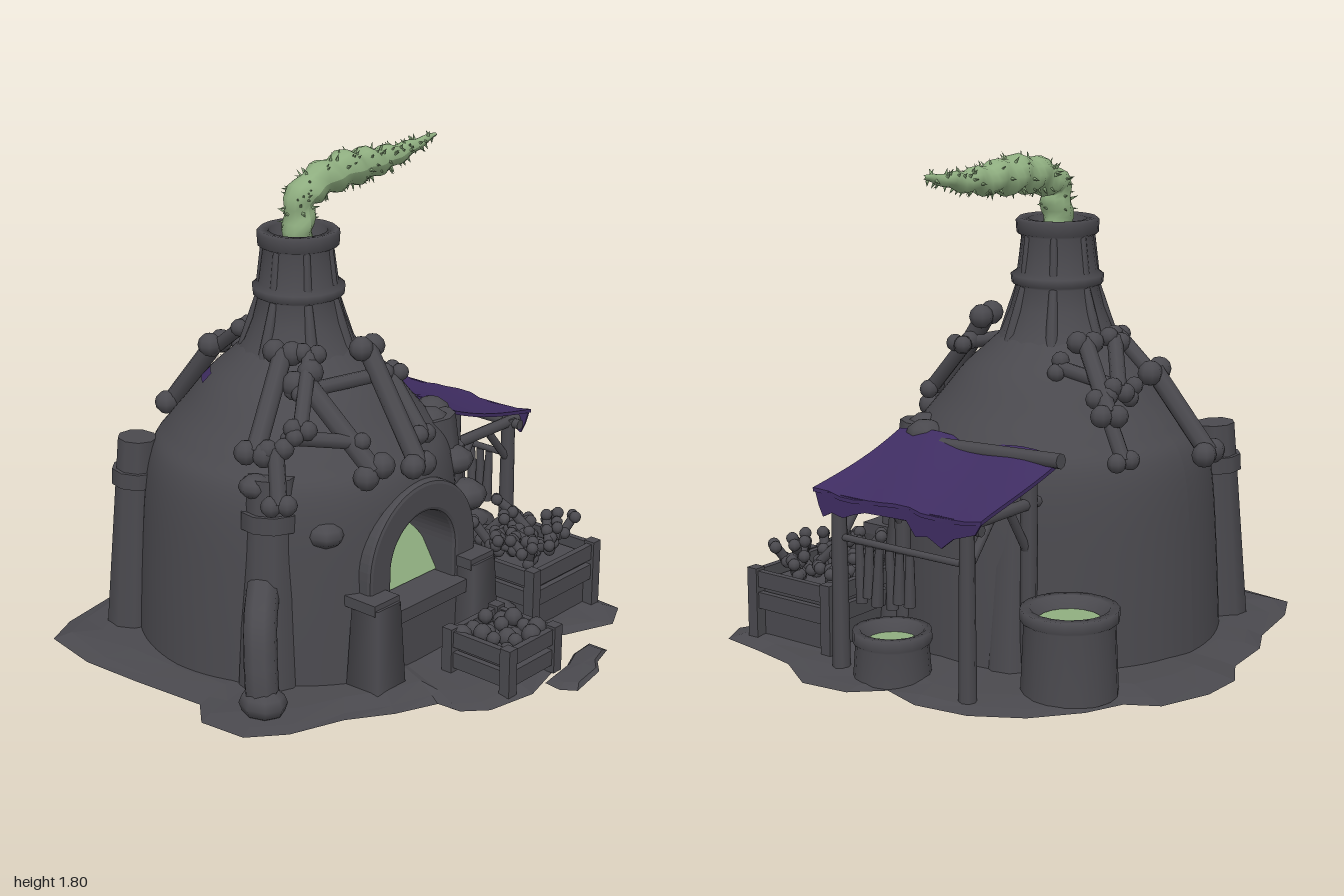
import * as THREE from 'three';

const V = (x, y, z) => new THREE.Vector3(x, y, z);
const CX = -0.1, CZ = -0.12; // axis of the dome and chimney

export function createModel() {
  const model = new THREE.Group();
  const mat = (name, color) => Object.assign(new THREE.MeshStandardMaterial({ color }), { name });
  const stone = mat('charcoal', 0x4a494e);
  const cloth = mat('purple cloth', 0x3f2d62);
  const glow = mat('green glow', 0x8fae80);
  cloth.side = THREE.DoubleSide;

  let seed = 7;
  const rnd = () => (seed = (seed * 16807) % 2147483647) / 2147483647;
  const jit = (a) => (rnd() - 0.5) * 2 * a;

  // helpers
  const add = (name, geo, material = stone, x = 0, y = 0, z = 0, parent = model) => {
    const m = new THREE.Mesh(geo, material);
    m.name = name;
    m.position.set(x, y, z);
    parent.add(m);
    return m;
  };
  const box = (name, x0, x1, y0, y1, z0, z1, parent = model) =>
    add(name, new THREE.BoxGeometry(x1 - x0, y1 - y0, z1 - z0), stone, (x0 + x1) / 2, (y0 + y1) / 2, (z0 + z1) / 2, parent);
  const rod = (name, a, b, r0, r1 = r0, material = stone, parent = model, sides = 8) => {
    const d = b.clone().sub(a);
    const m = add(name, new THREE.CylinderGeometry(r1, r0, d.length(), sides), material, 0, 0, 0, parent);
    m.position.copy(a).addScaledVector(d, 0.5);
    m.quaternion.setFromUnitVectors(V(0, 1, 0), d.normalize());
    return m;
  };
  const rock = (name, x, y, z, sx, sy, sz, parent = model) =>
    add(name, new THREE.SphereGeometry(1, 8, 6), stone, x, y, z, parent).scale.set(sx, sy, sz);
  const bone = (a, b, r, name = 'bone', parent = model) => {
    const g = new THREE.Group();
    g.name = name;
    parent.add(g);
    rod('boneShaft', a, b, r, r, stone, g);
    const d = b.clone().sub(a).normalize();
    const side = V(0, 1, 0).cross(V(a.x - CX, 0, a.z - CZ).normalize());
    side.addScaledVector(d, -side.dot(d)).normalize();
    for (const end of [a, b]) for (const s of [-1, 1]) {
      const p = end.clone().addScaledVector(side, s * r * 0.9);
      rock('boneKnob', p.x, p.y, p.z, r * 1.25, r * 1.25, r * 1.25, g);
    }
  };
  // closed crust: scaled copies of one outline, from the underside over the rim to the top
  const crust = (name, pts, cx, cz, rings, bump) => {
    const n = pts.length, pos = [], idx = [];
    for (const [k, y] of rings) for (const [x, z] of pts) pos.push(cx + (x - cx) * k, y + (k > 0 ? rnd() * bump : 0), cz + (z - cz) * k);
    for (let r = 0; r < rings.length - 1; r++) for (let i = 0; i < n; i++) {
      const a = r * n + i, b = r * n + (i + 1) % n;
      idx.push(a, a + n, b, b, a + n, b + n);
    }
    let geo = new THREE.BufferGeometry();
    geo.setAttribute('position', new THREE.Float32BufferAttribute(pos, 3));
    geo.setIndex(idx);
    geo = geo.toNonIndexed();
    geo.computeVertexNormals();
    return add(name, geo);
  };

  // ground
  const outline = [[0.05, -0.99], [0.2, -0.98], [0.4, -0.92], [0.45, -0.8], [0.6, -0.75], [0.75, -0.62], [0.85, -0.45],
    [0.88, -0.25], [0.84, -0.1], [0.94, 0], [0.94, 0.2], [0.85, 0.35], [0.79, 0.55], [0.77, 0.72], [0.65, 0.78],
    [0.45, 0.7], [0.35, 0.62], [0.22, 0.62], [0.2, 0.85], [0, 0.9], [-0.2, 0.87], [-0.28, 0.8], [-0.28, 0.7],
    [-0.45, 0.65], [-0.6, 0.55], [-0.8, 0.48], [-0.92, 0.38], [-0.94, 0.2], [-0.85, 0.1], [-0.87, -0.2],
    [-0.88, -0.45], [-0.84, -0.68], [-0.7, -0.75], [-0.45, -0.8], [-0.3, -0.88], [-0.1, -0.9]];
  crust('ground', outline, 0, 0, [[0, 0.012], [0.6, 0], [0.93, 0.006], [1, 0.018], [0.94, 0.03], [0.83, 0.038], [0, 0.04]], 0.014);
  const scrap = [[0.1, 0.88], [0.25, 0.86], [0.35, 0.82], [0.46, 0.81], [0.46, 0.89], [0.36, 0.92], [0.3, 0.97], [0.13, 1], [0.09, 0.95]];
  crust('looseGround', scrap, 0.28, 0.91, [[0, 0.005], [1, 0.015], [0.8, 0.03], [0, 0.04]], 0.005);

  // dome, steep to the shoulder, with the mouth of the furnace pressed in at the front
  const domeCurve = new THREE.SplineCurve([[0.605, 0.03], [0.59, 0.33], [0.57, 0.6], [0.54, 0.74], [0.485, 0.82], [0.42, 0.9],
    [0.34, 1.0], [0.255, 1.08], [0.16, 1.17]].map((p) => new THREE.Vector2(...p)));
  const dome = new THREE.LatheGeometry(domeCurve.getPoints(48), 80, Math.PI);
  const p = dome.attributes.position;
  for (let i = 0; i < p.count; i++) {
    const x = p.getX(i) + CX + 0.07, y = p.getY(i), z = p.getZ(i);
    const inMouth = y < 0.43 ? Math.abs(x) < 0.21 : Math.hypot(x, y - 0.43) < 0.21;
    if (z > 0 && inMouth) p.setZ(i, 0.26);
  }
  dome.computeVertexNormals();
  add('dome', dome, stone, CX, 0, CZ);
  for (const [a, w, y0, y1] of [[3.84, 0.26, 0.99, 1.03], [3.47, 0.16, 1.0, 1.04]]) {
    const pts = domeCurve.getPoints(80).filter((q) => q.y > y0 && q.y < y1).map((q) => new THREE.Vector2(q.x + 0.006, q.y));
    add('purplePatch', new THREE.LatheGeometry(pts, 6, a, w), cloth, CX, 0, CZ);
  }

  // chimney
  const chimney = [[0.25, 1.07], [0.2, 1.14], [0.168, 1.22], [0.148, 1.3], [0.165, 1.31], [0.168, 1.34], [0.145, 1.355],
    [0.128, 1.48], [0.147, 1.49], [0.15, 1.535], [0.14, 1.545], [0.105, 1.54], [0.1, 1.4], [0, 1.4]];
  add('chimney', new THREE.LatheGeometry(chimney.map((q) => new THREE.Vector2(...q)), 20), stone, CX, 0, CZ);
  for (let i = 0; i < 7; i++) {
    const a = i * 0.9 + 0.3, at = (r, y) => V(CX + r * Math.sin(a), y, CZ + r * Math.cos(a));
    rod('chimneyRib', at(0.135, 1.34), at(0.122, 1.5), 0.018, 0.012);
    rod('chimneyRib', at(0.2, 1.1), at(0.138, 1.31), 0.025, 0.015);
  }

  // smoke: a tapering, lumpy plume with thorns
  const path = new THREE.CatmullRomCurve3([[-0.1, 1.42], [-0.11, 1.57], [-0.095, 1.655], [0, 1.7], [0.15, 1.717], [0.3, 1.715], [0.45, 1.725], [0.64, 1.757]]
    .map(([x, y]) => V(x, y, -0.11)));
  const girth = (t) => (t < 0.5 ? 0.05 + t * 0.034 : 0.067 - 0.06 * ((t - 0.5) / 0.5) ** 1.2);
  const N = 40, R = 12;
  const smoke = new THREE.TubeGeometry(path, N, 1, R, false);
  const sp = smoke.attributes.position;
  for (let i = 0; i <= N; i++) {
    const c = path.getPointAt(i / N);
    for (let j = 0; j <= R; j++) {
      const k = i * (R + 1) + j, v = V().fromBufferAttribute(sp, k).sub(c);
      const lump = 1 + 0.14 * Math.sin(i * 1.3 + 2 * Math.sin((j / R) * Math.PI * 2));
      v.multiplyScalar(girth(i / N) * lump).add(c);
      sp.setXYZ(k, v.x, v.y, v.z);
    }
  }
  smoke.computeVertexNormals();
  add('smoke', smoke, glow);
  for (let i = 0; i < 120; i++) {
    const t = 0.15 + 0.83 * rnd(), c = path.getPointAt(t), tan = path.getTangentAt(t);
    const d = V(jit(1), jit(1), jit(1));
    d.addScaledVector(tan, -d.dot(tan)).normalize();
    const g = girth(t);
    rod('smokeThorn', c.clone().addScaledVector(d, g * 0.85), c.clone().addScaledVector(d, g + 0.02).addScaledVector(tan, jit(0.012)), 0.007, 0, glow, model, 4);
  }

  // furnace mouth, with a sloping bed of fire
  const arch = (r, base, outlinePath) => {
    outlinePath.moveTo(-r, base);
    outlinePath.lineTo(r, base);
    outlinePath.lineTo(r, 0.43);
    outlinePath.absarc(0, 0.43, r, 0, Math.PI, false);
    outlinePath.lineTo(-r, base);
    return outlinePath;
  };
  const frame = arch(0.275, 0.03, new THREE.Shape());
  frame.holes.push(arch(0.19, 0.28, new THREE.Path()));
  add('mouthArch', new THREE.ExtrudeGeometry(frame, { depth: 0.32, bevelSize: 0.015, bevelThickness: 0.015, bevelSegments: 2, curveSegments: 14 }), stone, -0.07, 0, 0.12);
  box('mouthSill', -0.28, 0.13, 0.25, 0.3, 0.15, 0.5);
  const flame = new THREE.Shape();
  flame.moveTo(-0.255, 0);
  flame.lineTo(0.11, 0);
  flame.splineThru([[0.105, 0.11], [0.06, 0.18], [0.02, 0.21], [-0.06, 0.22], [-0.12, 0.175], [-0.2, 0.13], [-0.255, 0.07]].map((q) => new THREE.Vector2(...q)));
  const fire = add('mouthFire', new THREE.ExtrudeGeometry(flame, { depth: 0.03, bevelEnabled: false }), glow, 0, 0.29, 0.34);
  fire.rotation.x = -0.55;
  fire.scale.y = 1.15;
  for (const x of [-0.345, 0.18]) {
    add('mouthPost', new THREE.CylinderGeometry(0.085, 0.105, 0.33, 4, 1).rotateY(Math.PI / 4), stone, x, 0.195, 0.47);
    box('mouthPostCap', x - 0.065, x + 0.065, 0.34, 0.38, 0.38, 0.52);
  }

  // buttresses leaning against the dome
  const buttress = (x, z, h, lean, r) => {
    const top = V(CX + (x - CX) * lean, h, CZ + (z - CZ) * lean), foot = V(x, 0.03, z);
    rod('buttress', foot, top, r * 1.15, r * 0.85, stone, model, 9);
    rod('buttressCollar', foot.clone().lerp(top, 0.76), foot.clone().lerp(top, 0.84), r * 1.08, r * 1.08, stone, model, 9);
  };
  buttress(-0.55, -0.56, 0.77, 0.94, 0.085);
  buttress(-0.57, 0.17, 0.8, 0.9, 0.1);
  buttress(0.32, 0.24, 0.82, 0.88, 0.105);
  buttress(0.4, -0.3, 0.78, 0.9, 0.09);
  const root = new THREE.CatmullRomCurve3([V(-0.76, 0.03, 0.32), V(-0.75, 0.2, 0.3), V(-0.71, 0.34, 0.26), V(-0.6, 0.41, 0.17)]);
  add('sideRoot', new THREE.TubeGeometry(root, 14, 0.06, 9), stone);
  rock('rootFoot', -0.76, 0.08, 0.32, 0.08, 0.06, 0.09);
  for (const [x, y, z, s] of [[0.29, 0.66, 0.29, 0.075], [0.32, 0.52, 0.32, 0.085], [0.26, 0.8, 0.2, 0.07], [0.35, 0.8, 0.13, 0.07],
    [-0.58, 0.77, 0.12, 0.06], [-0.43, 0.6, 0.31, 0.07], [0.3, 0.1, 0.5, 0.08]]) rock('wallStone', x, y, z, s, s * 0.7, s);

  // bones hung over the dome
  const bones = [
    [-0.07, 1.16, 0.18, -0.09, 0.79, 0.44, 0.036], [-0.34, 1.1, 0.12, -0.28, 0.81, 0.4, 0.038],
    [-0.38, 1.06, 0.13, 0.03, 1.06, 0.23, 0.026], [-0.33, 1.17, 0.02, -0.6, 0.9, 0.14, 0.035],
    [-0.56, 0.92, 0.2, -0.62, 0.75, 0.27, 0.03], [-0.28, 1.17, 0.1, -0.48, 0.98, 0.24, 0.028],
    [0.0, 1.06, 0.22, -0.01, 0.87, 0.39, 0.028], [-0.5, 0.95, 0.22, -0.28, 0.9, 0.33, 0.026],
    [-0.12, 1.03, -0.53, -0.15, 0.76, -0.74, 0.036], [-0.09, 1.13, -0.38, 0.1, 1.0, -0.53, 0.028],
    [0.02, 1.13, -0.33, 0.2, 0.93, -0.56, 0.032], [0.14, 1.06, -0.3, 0.02, 0.98, -0.53, 0.026],
    [0.16, 0.98, -0.5, 0.2, 0.78, -0.62, 0.028], [-0.14, 1.14, -0.36, -0.12, 1.02, -0.52, 0.026]];
  for (const b of bones) bone(V(b[0], b[1], b[2]), V(b[3], b[4], b[5]), b[6]);

  // lean-to: frame, ragged cloth and hanging tools
  for (const z of [0.17, -0.39]) {
    rod('awningPost', V(0.77, 0.03, z), V(0.77, 0.66, z), 0.032, 0.026);
    rod('innerPost', V(0.43, 0.03, z), V(0.43, 0.78, z), 0.03);
    rod('crossBeam', V(0.38, 0.645, z), V(0.82, 0.645, z), 0.022);
    rod('brace', V(0.76, 0.5, z), V(0.64, 0.64, z), 0.016);
    rod('brace', V(0.44, 0.48, z), V(0.54, 0.64, z), 0.016);
  }
  rod('ridgeLog', V(0.425, 0.812, -0.52), V(0.4, 0.775, 0.2), 0.027);
  rod('eaveBeam', V(0.78, 0.64, -0.46), V(0.78, 0.64, 0.22), 0.02);
  rod('toolRail', V(0.77, 0.51, -0.39), V(0.77, 0.51, 0.17), 0.013);
  for (let i = 0; i < 6; i++) {
    const z = 0.08 - i * 0.045, low = 0.29 + 0.04 * rnd();
    rod('hangingTool', V(0.77, 0.5, z), V(0.77, low, z + jit(0.015)), 0.014, 0.021);
  }
  const sheet = new THREE.BoxGeometry(0.46, 0.014, 0.72, 8, 1, 12);
  const cp = sheet.attributes.position;
  for (let i = 0; i < cp.count; i++) {
    const x = cp.getX(i), z = cp.getZ(i);
    cp.setY(i, cp.getY(i) - x * 0.29 + 0.008 * Math.sin(z * 16 + x * 7) - 0.012 * Math.cos(x * 6));
    cp.setX(i, x + (x > 0.2 ? 0.008 * Math.sin(z * 37) : 0));
  }
  sheet.computeVertexNormals();
  add('awningCloth', sheet, cloth, 0.605, 0.745, -0.135);
  const rag = new THREE.Shape([[0.225, 0.68], [0.21, 0.63], [0.19, 0.59], [0.15, 0.61], [0.1, 0.6], [0.05, 0.62], [0, 0.635], [-0.18, 0.64],
    [-0.22, 0.59], [-0.27, 0.6], [-0.33, 0.57], [-0.38, 0.61], [-0.47, 0.64], [-0.495, 0.68]].map(([z, y]) => new THREE.Vector2(-z, y)));
  add('awningRag', new THREE.ExtrudeGeometry(rag, { depth: 0.008, bevelEnabled: false }).rotateY(Math.PI / 2), cloth, 0.822, 0, 0);

  // tubs of green brew
  const tub = (x, z, r, h) => {
    const inner = r * 0.68;
    const prof = [[r * 1.05, 0.03], [r * 0.98, h - 0.05], [r * 1.06, h - 0.04], [r * 1.06, h], [r * 0.85, h], [inner, h - 0.05]];
    add('tub', new THREE.LatheGeometry(prof.map((q) => new THREE.Vector2(...q)), 18), stone, x, 0, z);
    add('brew', new THREE.CylinderGeometry(inner, inner, 0.02, 18), glow, x, h - 0.05, z);
  };
  tub(0.48, -0.6, 0.16, 0.33);
  tub(0.72, -0.02, 0.13, 0.2);

  // crates
  const crate = (name, x0, x1, z0, z1, h) => {
    const g = new THREE.Group();
    g.name = name;
    model.add(g);
    box('crateFill', x0 + 0.02, x1 - 0.02, 0.04, h - 0.03, z0 + 0.02, z1 - 0.02, g);
    for (const x of [x0, x1]) for (const z of [z0, z1]) box('cratePost', x - 0.022, x + 0.022, 0.03, h + 0.02, z - 0.022, z + 0.022, g);
    for (const y of [h - 0.05, h - 0.13]) {
      for (const z of [z0, z1]) box('crateBoard', x0, x1, y, y + 0.06, z - 0.012, z + 0.012, g);
      for (const x of [x0, x1]) box('crateBoard', x - 0.012, x + 0.012, y, y + 0.06, z0, z1, g);
    }
    return g;
  };
  const small = crate('lumpCrate', -0.08, 0.18, 0.59, 0.85, 0.19);
  for (let i = 0; i < 16; i++) {
    const s = 0.026 + rnd() * 0.012;
    rock('lump', -0.04 + (i % 4) * 0.06 + jit(0.015), 0.17 + rnd() * 0.035, 0.63 + Math.floor(i / 4) * 0.06 + jit(0.015), s, s, s, small);
  }
  const large = crate('boneCrate', 0.34, 0.71, 0.28, 0.63, 0.28);
  for (let i = 0; i < 28; i++) {
    const x = 0.38 + rnd() * 0.3, z = 0.31 + rnd() * 0.28, y = 0.27 + rnd() * 0.06;
    bone(V(x, y, z), V(x + jit(0.08), y + 0.02 + rnd() * 0.07, z + jit(0.08)), 0.018, 'looseBone', large);
  }
  return model;
}
